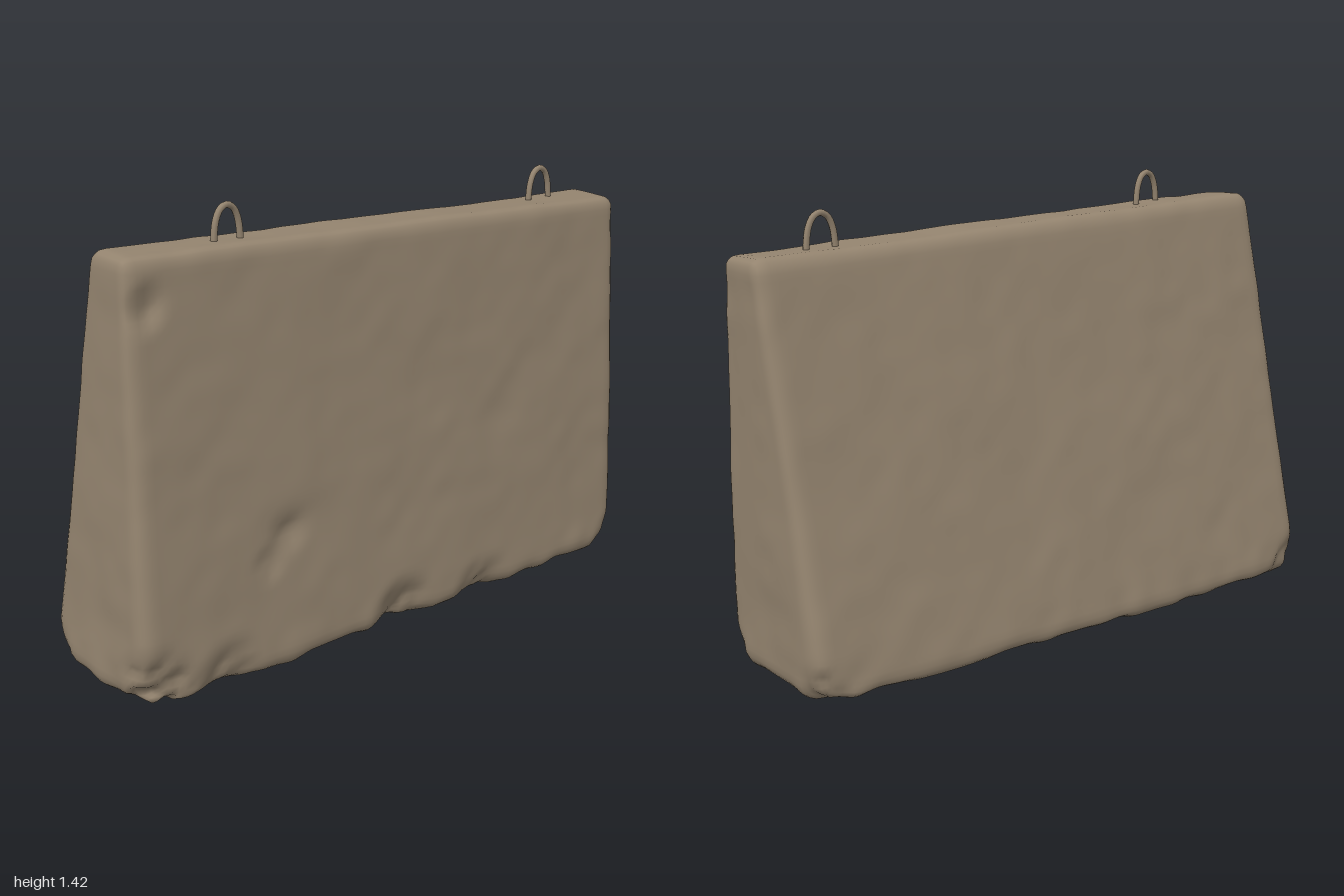
import * as THREE from 'three';
import { mergeVertices } from 'three/addons/utils/BufferGeometryUtils.js';

// Seeded smooth value noise, about -1..1
function hash(x, y, z) {
  const s = Math.sin(x * 127.1 + y * 311.7 + z * 74.7) * 43758.5453;
  return (s - Math.floor(s)) * 2 - 1;
}
function noise(x, y, z) {
  const ix = Math.floor(x), iy = Math.floor(y), iz = Math.floor(z);
  const ease = (t) => t * t * (3 - 2 * t);
  const fx = ease(x - ix), fy = ease(y - iy), fz = ease(z - iz);
  let sum = 0;
  for (let i = 0; i < 8; i++) {
    const a = i & 1, b = (i >> 1) & 1, c = i >> 2;
    sum += hash(ix + a, iy + b, iz + c) * (a ? fx : 1 - fx) * (b ? fy : 1 - fy) * (c ? fz : 1 - fz);
  }
  return sum;
}

// Chipped hollows: centre, radius, push
const dents = [
  { at: [-0.46, 0.43, 0.24], r: 0.09, push: [0, 0, -0.018] },
  { at: [-0.54, 0.35, 0.24], r: 0.07, push: [0, 0, -0.014] },
  { at: [-0.89, 1.18, 0.18], r: 0.08, push: [0.008, 0, -0.025] },
  { at: [-0.97, 0.02, 0.26], r: 0.2, push: [0.045, 0.01, -0.06] },
  { at: [-0.7, 0.02, 0.27], r: 0.16, push: [0, 0.01, -0.04] },
  { at: [-0.02, 0.02, 0.27], r: 0.16, push: [0, 0.015, -0.05] },
  { at: [0.32, 0.0, 0.27], r: 0.15, push: [0, 0.01, -0.04] },
  { at: [0.97, 0.03, 0.26], r: 0.12, push: [-0.02, 0.01, -0.03] },
  { at: [0.98, 0.02, -0.27], r: 0.14, push: [-0.03, 0.01, 0.03] },
  { at: [-0.97, 0.02, -0.27], r: 0.14, push: [0.04, 0.01, 0.03] },
];

// Tapered concrete slab with softened edges and a worn surface
function slabGeometry() {
  const box = new THREE.BoxGeometry(2, 2, 2, 90, 60, 24);
  box.deleteAttribute('uv');
  box.deleteAttribute('normal');
  const geo = mergeVertices(box, 1e-4);
  const pos = geo.attributes.position;
  const p = new THREE.Vector3(), core = new THREE.Vector3(), n = new THREE.Vector3();
  for (let i = 0; i < pos.count; i++) {
    const [u, v, w] = [pos.getX(i), pos.getY(i), pos.getZ(i)];
    const t = (v + 1) / 2;
    const left = -1.0 + 0.048 * t, right = 0.972 + 0.02 * t;
    const x = left + (right - left) * (u + 1) / 2;
    const top = 1.287 - 0.036 * x, bottom = 0.006;
    const y = bottom + (top - bottom) * t;
    const front = 0.268 - 0.073 * y, back = -0.282 + 0.208 * y;
    p.set(x, y, back + (front - back) * (w + 1) / 2);
    // Round the edges, more strongly near the ground
    const r = 0.035 + 0.02 * (1 - t);
    core.set(
      THREE.MathUtils.clamp(p.x, left + r, right - r),
      THREE.MathUtils.clamp(p.y, bottom + r, top - r),
      THREE.MathUtils.clamp(p.z, back + r, front - r));
    n.subVectors(p, core).normalize();
    p.copy(core).addScaledVector(n, r);
    // Gentle unevenness, rougher along the foot
    const rough = Math.max(0, 1 - p.y / 0.16);
    const bump = 0.004 * noise(p.x * 5, p.y * 5, p.z * 5 + 9)
      + (0.002 + 0.008 * rough) * noise(p.x * 13 + 4, p.y * 13, p.z * 13);
    p.addScaledVector(n, bump);
    for (const d of dents) {
      const dist = Math.hypot(p.x - d.at[0], p.y - d.at[1], p.z - d.at[2]);
      const k = Math.max(0, 1 - (dist / d.r) ** 2);
      const s = k * k * (0.8 + 0.4 * noise(p.x * 25, p.y * 25, p.z * 25));
      p.set(p.x + d.push[0] * s, p.y + d.push[1] * s, p.z + d.push[2] * s);
    }
    pos.setXYZ(i, p.x, Math.max(0, p.y), p.z);
  }
  geo.computeVertexNormals();
  return geo;
}

// Bent lifting bar whose legs sink into the slab
function hoopGeometry() {
  const path = [[-0.052, -0.06], [-0.05, 0.01], [-0.042, 0.055], [-0.025, 0.085], [0, 0.096],
    [0.025, 0.085], [0.042, 0.055], [0.05, 0.01], [0.052, -0.06]]
    .map(([x, y]) => new THREE.Vector3(x, y, 0));
  return new THREE.TubeGeometry(new THREE.CatmullRomCurve3(path), 32, 0.01, 8);
}

export function createModel() {
  const group = new THREE.Group();
  const concrete = new THREE.MeshStandardMaterial({ color: 0x94846f });
  concrete.name = 'concrete';

  const slab = new THREE.Mesh(slabGeometry(), concrete);
  slab.name = 'concreteSlab';
  group.add(slab);

  const hoop = hoopGeometry();
  const places = [
    ['rightLiftingHoop', -0.558, 1.312, 0.09, 0.14],
    ['leftLiftingHoop', 0.733, 1.266, 0.06, 0.08],
  ];
  for (const [name, x, y, z, turn] of places) {
    const mesh = new THREE.Mesh(hoop, concrete);
    mesh.name = name;
    mesh.position.set(x, y, z);
    mesh.rotation.y = turn;
    group.add(mesh);
  }
  return group;
}
